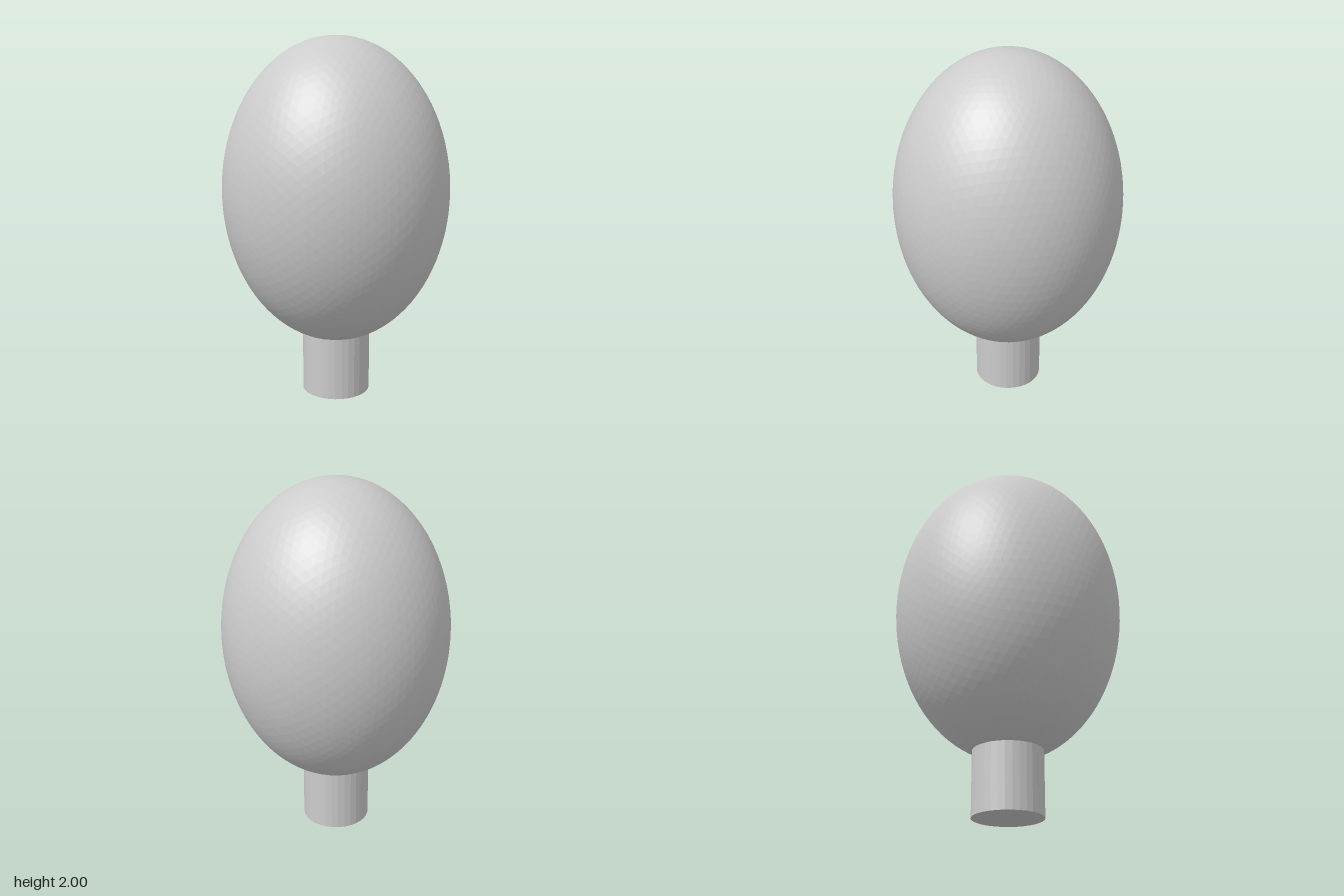
import * as THREE from 'three';

const CROWN_RADIUS = 0.625, CROWN_HALF_HEIGHT = 0.843;
const TRUNK_RADIUS = 0.19, TRUNK_HEIGHT = 0.4;

export function createModel() {
  const model = new THREE.Group();
  model.name = 'tree';
  const material = new THREE.MeshStandardMaterial({ color: 0xcccccc, flatShading: true });

  // Crown: finely faceted egg shape, stretched upward
  const crownGeometry = new THREE.IcosahedronGeometry(1, 15);
  crownGeometry.scale(CROWN_RADIUS, CROWN_HALF_HEIGHT, CROWN_RADIUS);
  const crown = new THREE.Mesh(crownGeometry, material);
  crown.name = 'crown';
  crown.position.y = 2 - CROWN_HALF_HEIGHT;

  // Trunk: short capped cylinder, its top sunk into the crown
  const trunk = new THREE.Mesh(
    new THREE.CylinderGeometry(TRUNK_RADIUS, TRUNK_RADIUS, TRUNK_HEIGHT, 32),
    material
  );
  trunk.name = 'trunk';
  trunk.position.y = TRUNK_HEIGHT / 2;

  model.add(crown, trunk);
  return model;
}
